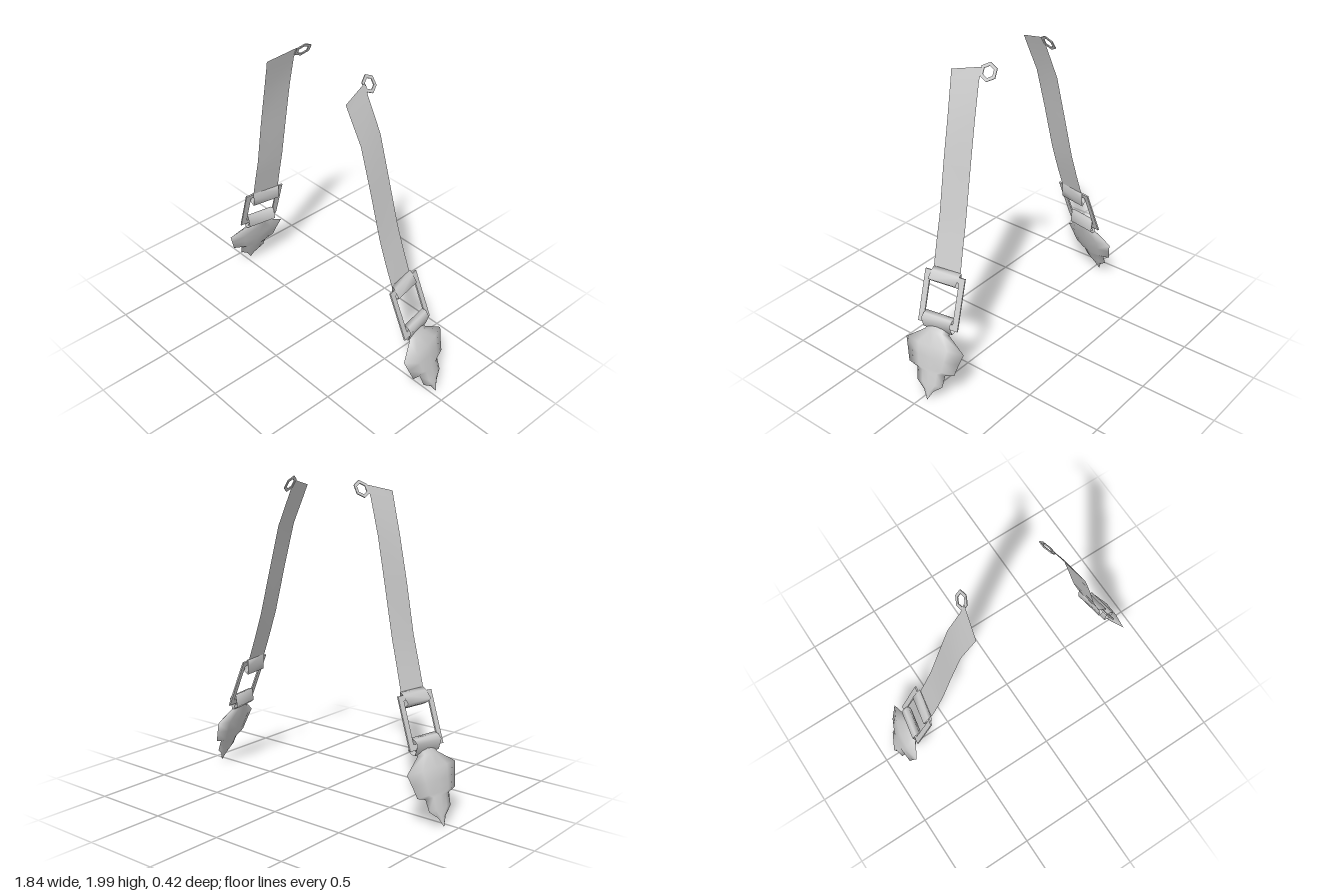
import * as THREE from 'three';

const material = new THREE.MeshStandardMaterial({ color: 0xcccccc, side: THREE.DoubleSide });
const V = (x, y, z) => new THREE.Vector3(x, y, z);
const ACROSS = V(0.177, 0, 0.984); // direction across the strap's width

function mesh(name, geometry) {
  const m = new THREE.Mesh(geometry, material);
  m.name = name;
  return m;
}

// Skin between rows of points; closed joins the last point of a row to its first
function loft(rows, closed) {
  const n = rows[0].length;
  const index = [];
  for (let i = 0; i < rows.length - 1; i++) {
    for (let j = 0; j < (closed ? n : n - 1); j++) {
      const a = i * n + j, b = i * n + (j + 1) % n;
      index.push(a, b, b + n, a, b + n, a + n);
    }
  }
  const g = new THREE.BufferGeometry().setFromPoints(rows.flat());
  g.setIndex(index);
  g.computeVertexNormals();
  return g;
}

// Flat plate facing outward, with its local y along the given direction
function plate(name, shape, depth, centre, up) {
  const y = up.clone().normalize();
  const z = y.clone().cross(ACROSS).normalize();
  const x = y.clone().cross(z);
  const g = new THREE.ExtrudeGeometry(shape, { depth, bevelEnabled: false });
  g.translate(0, 0, -depth / 2);
  g.applyMatrix4(new THREE.Matrix4().makeBasis(x, y, z).setPosition(centre));
  return mesh(name, g);
}

const polygon = (sides, r) => Array.from({ length: sides }, (_, i) => {
  const a = Math.PI / 2 + i * 2 * Math.PI / sides;
  return new THREE.Vector2(r * Math.cos(a), r * Math.sin(a));
});
const rectangle = (w, h) => [[-w, -h], [w, -h], [w, h], [-w, h]]
  .map(([x, y]) => new THREE.Vector2(x / 2, y / 2));
function holed(outer, inner) {
  const s = new THREE.Shape(outer);
  s.holes.push(new THREE.Path(inner));
  return s;
}

// Strap end folded round a buckle bar: a sleeve swept across the width
function sleeve(name, section, z, half) {
  const rows = [-half, half].map(t =>
    section.map(([x, y]) => V(x, y, z).addScaledVector(ACROSS, t)));
  return mesh(name, loft(rows, true));
}

function pendant() {
  // centre x, y, z, half width, half thickness
  const rows = [
    [0.75, 0.455, 0, 0.08, 0.02],
    [0.768, 0.415, 0, 0.085, 0.028],
    [0.807, 0.34, -0.01, 0.203, 0.042],
    [0.83, 0.27, -0.013, 0.18, 0.038],
    [0.852, 0.2, -0.018, 0.16, 0.03],
    [0.859, 0.182, -0.02, 0.1, 0.028],
    [0.885, 0.11, -0.028, 0.09, 0.02],
    [0.902, 0.065, -0.031, 0.032, 0.013],
    [0.921, 0.01, -0.035, 0.001, 0.001],
  ];
  const outward = V(0.91, 0.38, -0.16).normalize();
  const section = [[1, 0], [0.5, 0.7], [0, 1], [-0.5, 0.7], [-1, 0], [-0.5, -0.7], [0, -1], [0.5, -0.7]];
  return mesh('leafPendant', loft(rows.map(([x, y, z, w, t]) => section.map(([u, v]) =>
    V(x, y, z).addScaledVector(ACROSS, u * w).addScaledVector(outward, v * t))), true));
}

function strapAssembly(name) {
  const group = new THREE.Group();
  group.name = name;

  // Strap: back edge and front edge, from top to buckle
  const edges = [
    [V(0.285, 1.972, 0.02), V(0.335, 1.927, 0.21)],
    [V(0.315, 1.9, 0.02), V(0.352, 1.875, 0.202)],
    [V(0.392, 1.68, -0.008), V(0.42, 1.68, 0.172)],
    [V(0.457, 1.4, -0.023), V(0.488, 1.4, 0.157)],
    [V(0.527, 1.09, -0.04), V(0.556, 1.09, 0.14)],
    [V(0.575, 0.92, -0.052), V(0.606, 0.92, 0.13)],
    [V(0.615, 0.78, -0.065), V(0.648, 0.78, 0.118)],
  ];
  group.add(mesh('strap', loft(edges, false)));

  // Hexagonal eyelet at the top corner
  group.add(plate('eyelet', holed(polygon(6, 0.058), polygon(6, 0.036)), 0.006,
    V(0.279, 1.949, -0.02), V(-0.055, 0.095, 0.01)));

  // Rectangular buckle
  group.add(plate('buckleFrame', holed(rectangle(0.275, 0.33), rectangle(0.2, 0.26)), 0.01,
    V(0.706, 0.611, 0.012), V(-0.112, 0.308, 0.025)));

  // Folded sleeves above and below the buckle
  group.add(sleeve('upperSleeve', [[0.632, 0.785], [0.655, 0.768], [0.692, 0.722],
    [0.665, 0.695], [0.638, 0.678], [0.634, 0.73]], 0.022, 0.096));
  group.add(sleeve('lowerSleeve', [[0.73, 0.528], [0.76, 0.52], [0.784, 0.495],
    [0.765, 0.425], [0.74, 0.428], [0.716, 0.447]], 0, 0.1));

  group.add(pendant());
  return group;
}

export function createModel() {
  const model = new THREE.Group();
  model.name = 'strapPair';
  const left = strapAssembly('leftStrap');
  const right = strapAssembly('rightStrap');
  right.scale.x = -1;
  model.add(left, right);
  return model;
}
